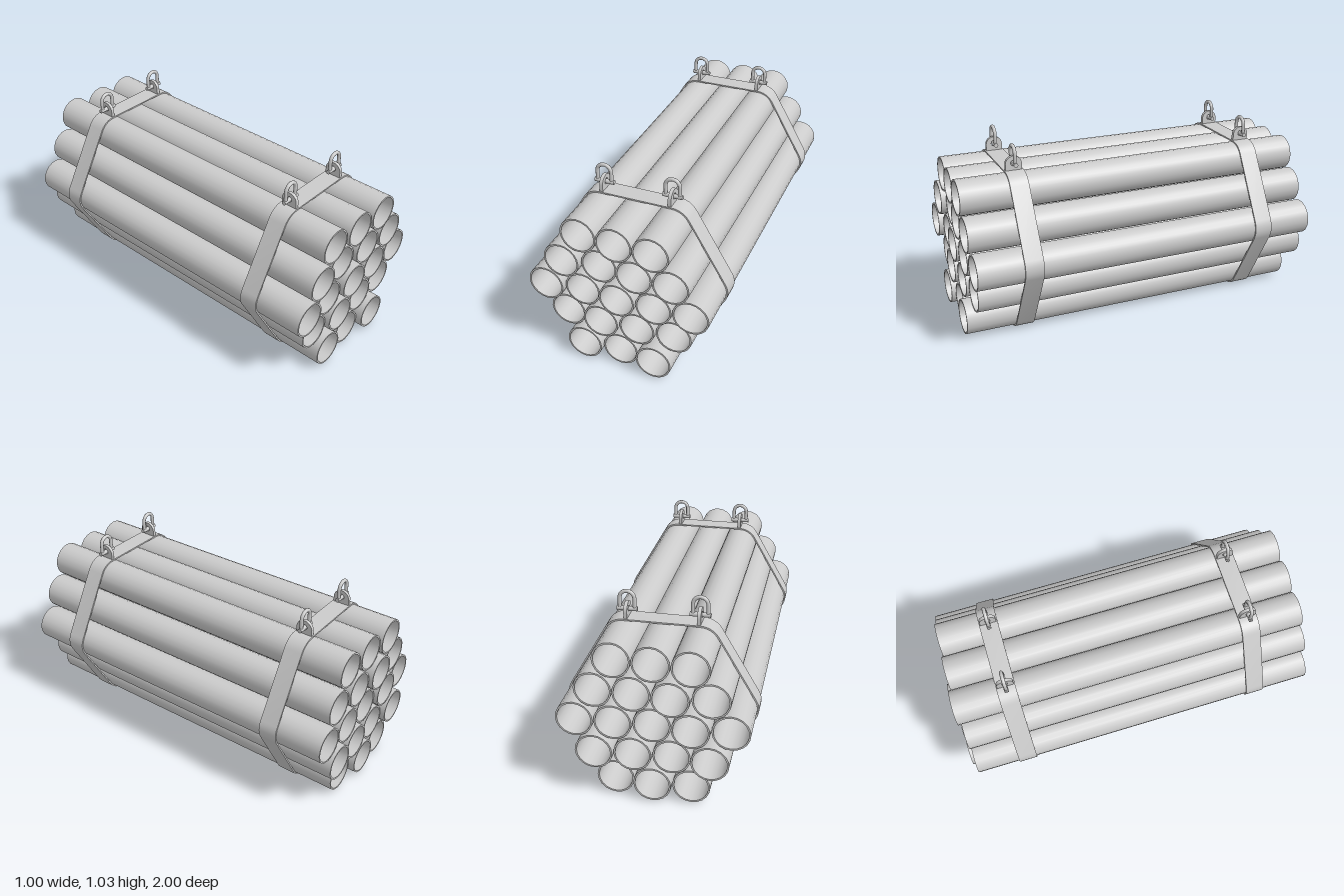
import * as THREE from 'three';
import { toCreasedNormals } from 'three/addons/utils/BufferGeometryUtils.js';

const PITCH = 0.197, ROW = PITCH * Math.sqrt(3) / 2;
const MID_Y = 0.4465, TOP_Y = 0.893;
const PIPE_R = 0.097, PIPE_INNER = 0.088, PIPE_LEN = 1.956;
const STRAP_Z = 0.677, STRAP_W = 0.102;

const material = new THREE.MeshStandardMaterial({ color: 0xcccccc });

function add(parent, name, geometry, x = 0, y = 0, z = 0) {
  const mesh = new THREE.Mesh(geometry, material);
  mesh.name = name;
  mesh.position.set(x, y, z);
  parent.add(mesh);
  return mesh;
}

// Extrude a shape, centred along z, with smooth walls and sharp rims
function extrude(shape, depth, curveSegments) {
  const g = new THREE.ExtrudeGeometry(shape, { depth, curveSegments, bevelEnabled: false });
  g.translate(0, 0, -depth / 2);
  return toCreasedNormals(g, 0.6);
}

// Hexagon with rounded corners that wraps the outer pipes
function roundedHexagon(path, radius) {
  for (let k = 0; k < 6; k++) {
    const a = k * Math.PI / 3;
    path.absarc(2 * PITCH * Math.cos(a), 2 * PITCH * Math.sin(a), radius, a - Math.PI / 6, a + Math.PI / 6, false);
  }
  path.closePath();
  return path;
}

function createShackle() {
  const shackle = new THREE.Group();
  shackle.name = 'shackle';

  // Upright lug with rounded top and a pin hole, its face turned to the side
  const lugShape = new THREE.Shape();
  lugShape.moveTo(-0.045, -0.004);
  lugShape.lineTo(0.045, -0.004);
  lugShape.lineTo(0.045, 0.03);
  lugShape.absarc(0, 0.032, 0.045, 0.1, Math.PI - 0.1, false);
  lugShape.lineTo(-0.045, -0.004);
  lugShape.holes.push(new THREE.Path().absarc(0, 0.039, 0.016, 0, Math.PI * 2, true));
  add(shackle, 'lug', extrude(lugShape, 0.018, 8)).rotation.y = Math.PI / 2;

  // Cross pin
  add(shackle, 'pin', new THREE.CylinderGeometry(0.012, 0.012, 0.106, 12), 0, 0.038).rotation.z = Math.PI / 2;

  // Bow: two straight legs joined by a half circle
  const bowPath = new THREE.CurvePath();
  const points = [];
  const r = 0.038, legTop = 0.094;
  for (let i = 0; i <= 12; i++) {
    const a = Math.PI * i / 12;
    points.push(new THREE.Vector3(r * Math.cos(a), legTop + r * Math.sin(a), 0));
  }
  const foot = (s) => new THREE.Vector3(s * r, 0.036, 0);
  bowPath.add(new THREE.LineCurve3(foot(1), points[0]));
  bowPath.add(new THREE.CatmullRomCurve3(points));
  bowPath.add(new THREE.LineCurve3(points[12], foot(-1)));
  add(shackle, 'bow', new THREE.TubeGeometry(bowPath, 32, 0.01, 10, false));
  return shackle;
}

export function createModel() {
  const model = new THREE.Group();
  model.name = 'pipeBundle';

  // Nineteen hollow pipes in a hexagonal stack, each slid slightly along z
  const pipeShape = new THREE.Shape().absarc(0, 0, PIPE_R, 0, Math.PI * 2, false);
  pipeShape.holes.push(new THREE.Path().absarc(0, 0, PIPE_INNER, 0, Math.PI * 2, true));
  const pipeGeometry = extrude(pipeShape, PIPE_LEN, 10);
  const slides = [
    [0.012, -0.01, 0.022],
    [-0.02, 0.005, -0.008, -0.022],
    [0.015, -0.01, 0.01, 0, -0.004],
    [0.012, -0.015, 0.004, 0.01],
    [0, 0.01, 0.016],
  ];
  slides.forEach((row, j) => row.forEach((z, i) => {
    add(model, 'pipe', pipeGeometry, (i - (row.length - 1) / 2) * PITCH, MID_Y + (j - 2) * ROW, z);
  }));

  // Two straps, each with a pair of lifting shackles
  const strapShape = roundedHexagon(new THREE.Shape(), 0.1055);
  strapShape.holes.push(roundedHexagon(new THREE.Path(), 0.0975));
  const strapGeometry = extrude(strapShape, STRAP_W, 3);
  for (const z of [STRAP_Z, -STRAP_Z]) {
    add(model, 'strap', strapGeometry, 0, MID_Y, z);
    for (const x of [-0.188, 0.183]) {
      const shackle = createShackle();
      shackle.position.set(x, TOP_Y, z);
      model.add(shackle);
    }
  }
  return model;
}
